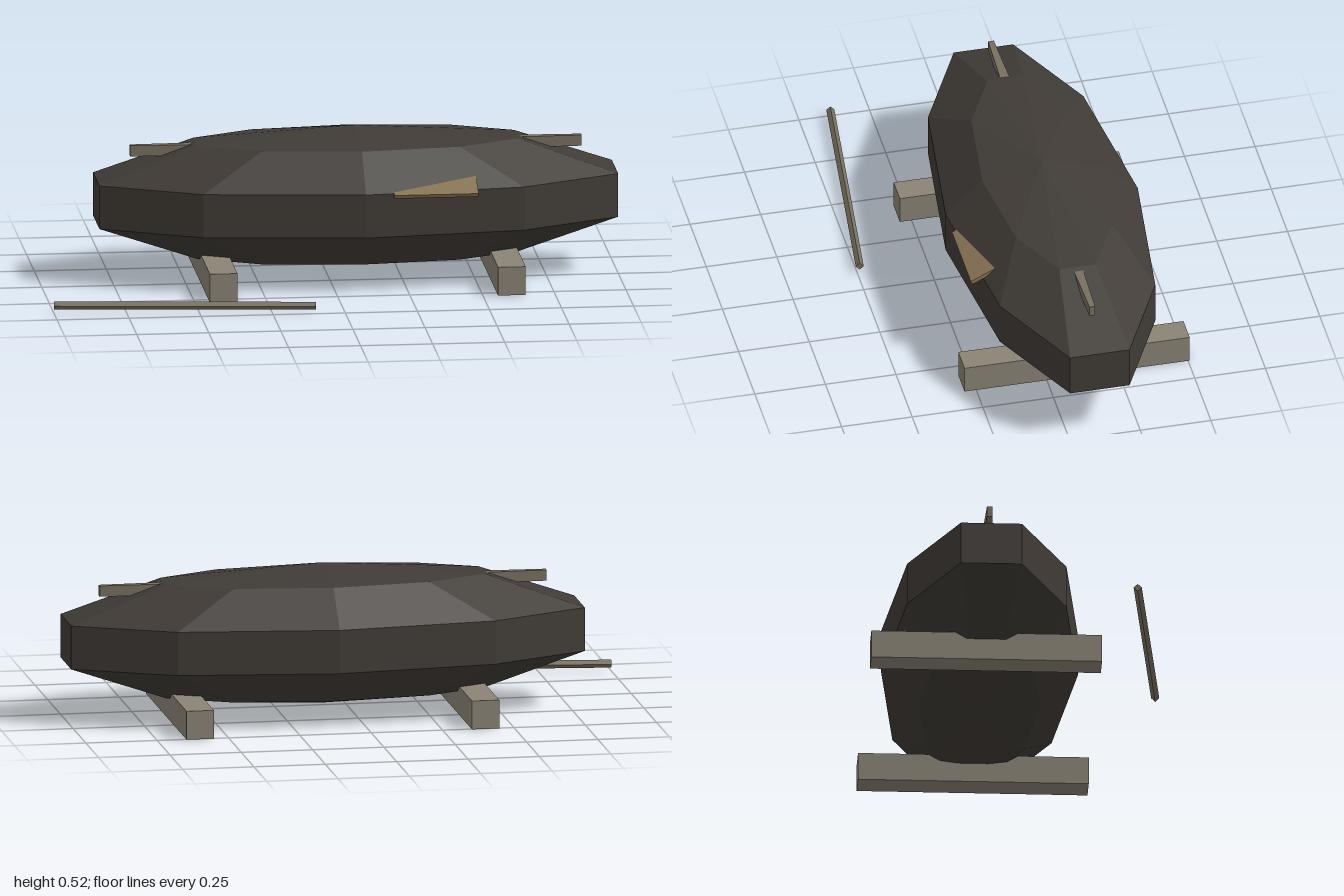
import * as THREE from 'three';

const mat = (color) => new THREE.MeshStandardMaterial({ color, flatShading: true });

export function createModel() {
  const group = new THREE.Group();
  const hullMat = mat(0x403b36);
  const beamMat = mat(0x8a8375);
  const woodMat = mat(0x77705f);
  const patchMat = mat(0x8a7455);

  const add = (name, geometry, material, x, y, z) => {
    const mesh = new THREE.Mesh(geometry, material);
    mesh.name = name;
    mesh.position.set(x, y, z);
    group.add(mesh);
    return mesh;
  };

  const cx = 0.1, cz = -0.107; // middle of the hull

  // Hull: ten-sided faceted ellipsoid with corners on the z axis
  const hull = new THREE.SphereGeometry(1, 10, 5);
  hull.rotateY(Math.PI / 10);
  hull.scale(0.995, 0.247, 0.3575);
  add('hull', hull, hullMat, cx, 0.277, cz);

  for (const side of [-1, 1]) {
    // Support beams under the hull
    add(side < 0 ? 'rightBeam' : 'leftBeam', new THREE.BoxGeometry(0.096, 0.1, 0.797),
      beamMat, cx + side * 0.5, 0.05, cz);

    // End pegs, narrowing outward and sunk into the hull
    const peg = new THREE.BoxGeometry(0.39, 0.038, 1);
    const p = peg.attributes.position;
    for (let i = 0; i < p.count; i++) {
      const outer = p.getX(i) * side > 0;
      p.setZ(i, Math.sign(p.getZ(i)) * (outer ? 0.01 : 0.022));
    }
    add(side < 0 ? 'rightPeg' : 'leftPeg', peg, woodMat, cx + side * 0.588, 0.452, cz);
  }

  // Thin patch board leaning into the hull's upper slope
  const patch = new THREE.BoxGeometry(0.292, 0.014, 0.16);
  patch.translate(0, 0, -0.08);
  add('patchBoard', patch, patchMat, 0.345, 0.343, 0.23).rotation.x = 0.46;

  // Loose four-sided pole lying in front
  const pole = new THREE.CylinderGeometry(0.014, 0.014, 0.905, 4);
  pole.rotateZ(Math.PI / 2);
  add('pole', pole, woodMat, -0.55, 0.026, 0.44).rotation.y = -Math.atan2(0.102, 0.9);

  return group;
}
